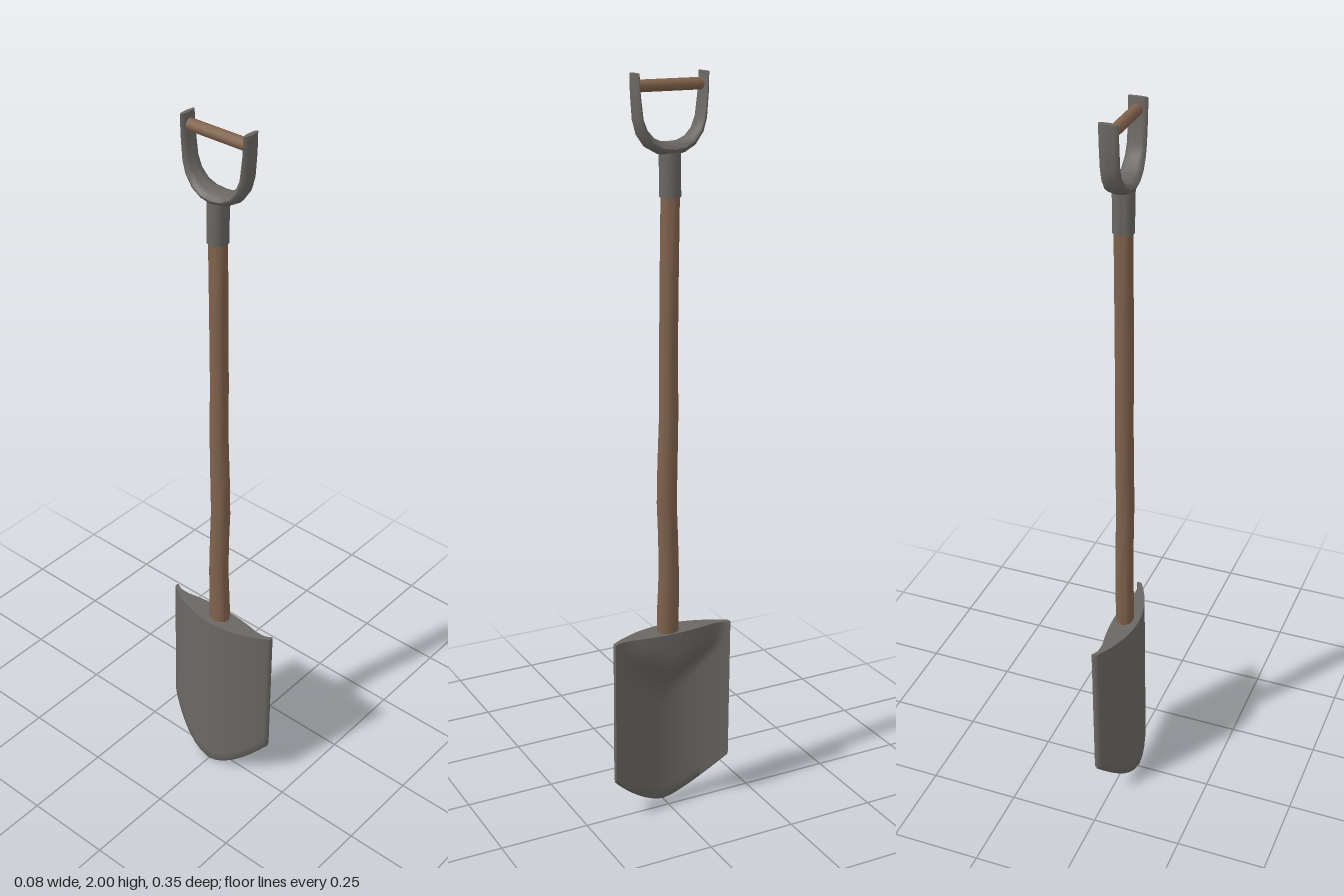
import * as THREE from 'three';
import { toCreasedNormals } from 'three/addons/utils/BufferGeometryUtils.js';

const V = (x, y, z) => new THREE.Vector3(x, y, z);
const AXIS_X = 0.006; // centre line of shaft and handle

// Skin a list of equally sized closed rings, optionally closing both ends
function loft(rings, capped) {
  const n = rings[0].length;
  const pos = [];
  const tri = (...pts) => pts.forEach((p) => pos.push(p.x, p.y, p.z));
  for (let i = 0; i < rings.length - 1; i++) {
    for (let j = 0; j < n; j++) {
      const k = (j + 1) % n;
      const a = rings[i][j], b = rings[i][k], c = rings[i + 1][k], d = rings[i + 1][j];
      tri(a, b, c);
      tri(a, c, d);
    }
  }
  if (capped) {
    const middle = (r) => r.reduce((s, p) => s.add(p), V(0, 0, 0)).divideScalar(n);
    const first = rings[0], last = rings[rings.length - 1];
    const m0 = middle(first), m1 = middle(last);
    for (let j = 0; j < n; j++) {
      const k = (j + 1) % n;
      tri(m0, first[k], first[j]);
      tri(m1, last[j], last[k]);
    }
  }
  const g = new THREE.BufferGeometry();
  g.setAttribute('position', new THREE.Float32BufferAttribute(pos, 3));
  return toCreasedNormals(g, 0.8);
}

// Elliptical tube along a path in the YZ plane; stations are [z, y, halfAcross, halfX]
function tube(stations, sides) {
  const xAxis = V(1, 0, 0);
  const rings = stations.map(([z, y, across, hx], i) => {
    const p = stations[Math.max(i - 1, 0)];
    const q = stations[Math.min(i + 1, stations.length - 1)];
    const side = V(0, q[1] - p[1], q[0] - p[0]).normalize().cross(xAxis);
    return Array.from({ length: sides }, (_, j) => {
      const a = (j / sides) * Math.PI * 2;
      return V(AXIS_X + Math.cos(a) * hx, y, z).addScaledVector(side, Math.sin(a) * across);
    });
  });
  return loft(rings, true);
}

// Dished blade with rounded point and a swelling at the top that takes the shaft
function bladeGeometry() {
  const W = 0.175, TOP = 0.535, COLS = 20, ROWS = 18;
  const point = (u, v, face, thickness) => {
    const a = Math.abs(u);
    const bottom = 0.125 * Math.pow(a, 1.6);
    const y = bottom + (TOP - bottom) * v;
    const outer = -0.042 + 0.007 * (y / TOP) + 0.056 * a * a;
    const thin = outer + 0.014;
    const full = Math.max(thin, 0.022 + 0.013 * Math.max(0, 1 - (u / 0.7) ** 2));
    const low = 0.33 + 0.15 * a, high = 0.45 + 0.08 * a;
    const inner = thin + (full - thin) * THREE.MathUtils.smoothstep(y, low, high);
    const mid = (outer + inner) / 2;
    const half = a === 1 ? 0 : ((inner - outer) / 2) * thickness;
    return V(mid + face * half, y, u * W);
  };
  const us = Array.from({ length: COLS + 1 }, (_, i) => Math.sin((1 - (2 * i) / COLS) * Math.PI / 2));
  us[0] = 1;
  us[COLS] = -1;
  const ring = (v, thickness) => [
    ...us.map((u) => point(u, v, 1, thickness)),
    ...us.slice(1, -1).reverse().map((u) => point(u, v, -1, thickness)),
  ];
  const rings = [ring(0, 0)];
  for (let i = 0; i <= ROWS; i++) rings.push(ring(0.02 + 0.98 * (i / ROWS), 1));
  rings.push(ring(1, 0));
  return loft(rings, false);
}

export function createModel() {
  const model = new THREE.Group();
  const steel = new THREE.MeshStandardMaterial({ color: 0x6a6763 });
  const wood = new THREE.MeshStandardMaterial({ color: 0x80624c });
  const add = (name, geometry, material) => {
    const mesh = new THREE.Mesh(geometry, material);
    mesh.name = name;
    model.add(mesh);
    return mesh;
  };

  add('blade', bladeGeometry(), steel);

  // Slightly crooked wooden shaft
  add('shaft', tube([
    [0.005, 0.48, 0.031, 0.024], [0.005, 0.58, 0.031, 0.024],
    [0.002, 0.7, 0.028, 0.024], [0.004, 0.8, 0.027, 0.024],
    [0.008, 0.9, 0.027, 0.024], [0.006, 1.0, 0.027, 0.024],
    [0.002, 1.15, 0.025, 0.024], [0.003, 1.3, 0.024, 0.024],
    [0.001, 1.5, 0.024, 0.024], [-0.002, 1.72, 0.024, 0.024],
  ], 12), wood);

  // Metal collar joining shaft and handle
  add('collar', tube([
    [-0.002, 1.7, 0.027, 0.028], [-0.001, 1.77, 0.027, 0.028], [0, 1.82, 0.028, 0.029],
  ], 12), steel);

  // U-shaped yoke, one half mirrored to make the other
  const arm = [
    [0.094, 2.0, 0.006, 0.025], [0.092, 1.95, 0.008, 0.025],
    [0.086, 1.89, 0.011, 0.025], [0.076, 1.86, 0.013, 0.026],
    [0.056, 1.835, 0.015, 0.028], [0.03, 1.822, 0.016, 0.031],
  ];
  const mirrored = arm.map(([z, ...rest]) => [-z, ...rest]).reverse();
  add('yoke', tube([...arm, [0, 1.818, 0.018, 0.033], ...mirrored], 12), steel);

  // Wooden crossbar between the yoke arms
  const grip = add('grip', new THREE.CylinderGeometry(0.015, 0.015, 0.184, 12), wood);
  grip.rotation.x = Math.PI / 2;
  grip.position.set(AXIS_X + 0.001, 1.97, 0);

  return model;
}
